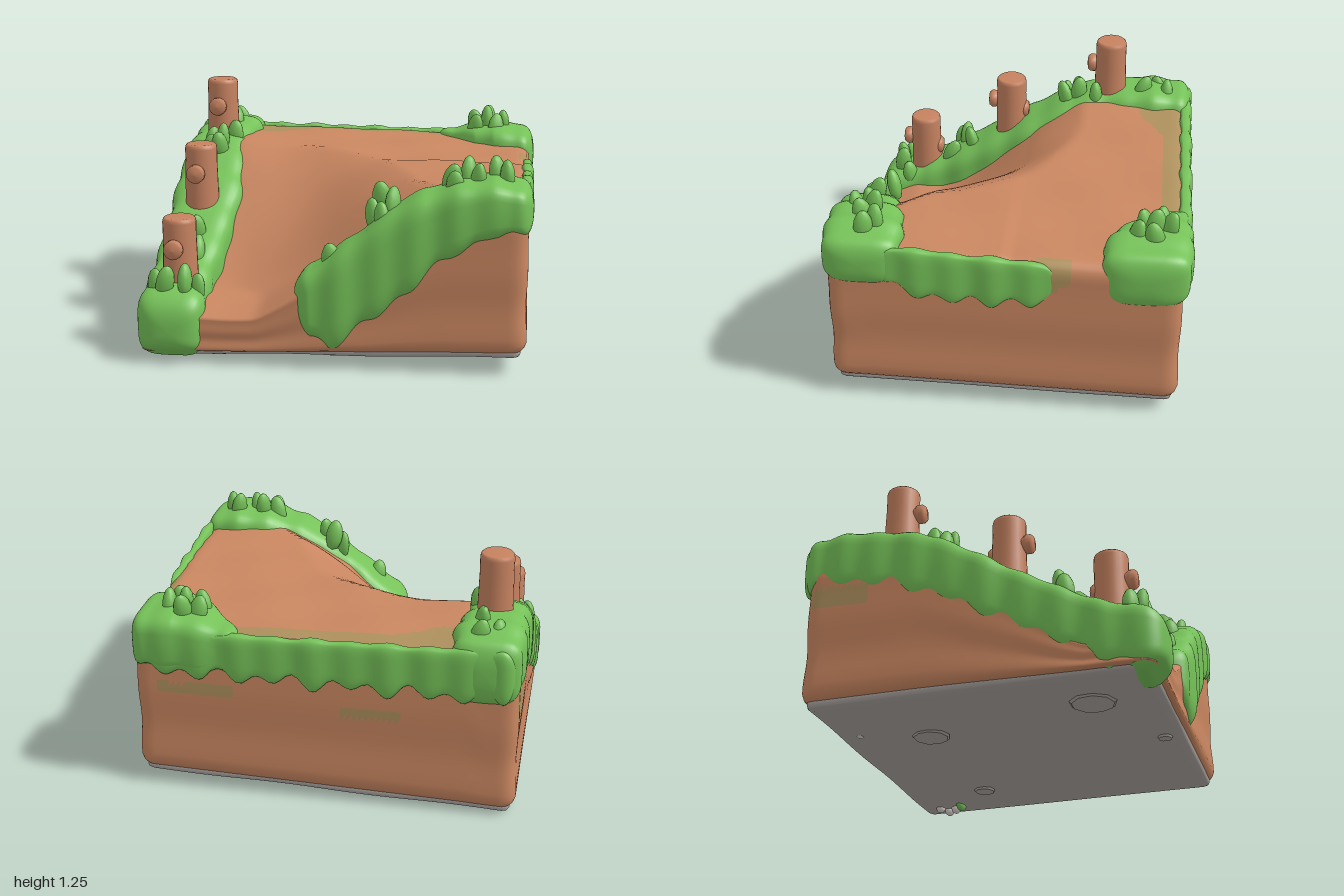
import * as THREE from 'three';
import { mergeVertices } from 'three/addons/utils/BufferGeometryUtils.js';

const { smoothstep, clamp, lerp } = THREE.MathUtils;
const paint = (name, color) => {
  const m = new THREE.MeshStandardMaterial({ color });
  m.name = name;
  return m;
};
const mats = {
  dirt: paint('dirt', 0xca8761),
  olive: paint('fadedGrass', 0xae905d),
  grass: paint('grass', 0x76c259),
  blade: paint('grassBlade', 0x74bf57),
  wood: paint('wood', 0xc68260),
  stone: paint('stone', 0xaea7a2),
  pebble: paint('pebble', 0xddd6d0),
};

function add(group, name, geometry, material, position = [0, 0, 0]) {
  const mesh = new THREE.Mesh(geometry, material);
  mesh.name = name;
  mesh.position.set(...position);
  group.add(mesh);
  return mesh;
}

// Height of the dirt: a plateau with a scooped ramp falling to the front left
function ground(x, z) {
  const reach = lerp(0.95, 1.1, smoothstep(z, 0.4, 0.65));
  const dx = Math.max(0, x + 0.6) / reach, dz = Math.max(0, 0.75 - z);
  const d = Math.pow(dx ** 2.3 + dz ** 2.3, 1 / 2.3);
  const rise = lerp(smoothstep(d, 0.2, 1.05), clamp((d - 0.2) / 0.85, 0, 1), 0.6);
  const lumps = 0.01 * Math.sin(9 * x + 4 * z) * Math.sin(8 * z - 3 * x) * (rise < 1 ? 1 : 0.6);
  const plateau = 0.885 - 0.02 * x * (z < 0 ? 1 : 0.3);
  const lip = 0.04 * smoothstep(z, 0.68, 0.87) * (1 - rise);
  // the dirt sinks a little where turf lies on it
  const underTurf = 0.12 * smoothstep(-x, 0.68, 0.82)
    + 0.08 * smoothstep(z, 0.66, 0.8) * smoothstep(x, 0, 0.2);
  return lerp(0.29, plateau, rise) + lumps - lip - underTurf;
}
const baseLine = (x, z) => 0.055 + 0.03 * x + 0.015 * z;

// Subdivided box with rounded edges, its vertices then moved by a rule
function softBox(w, h, d, r, segs, move) {
  const box = new THREE.BoxGeometry(w, h, d, ...segs);
  box.deleteAttribute('normal');
  box.deleteAttribute('uv');
  const geo = mergeVertices(box, 1e-4), pos = geo.attributes.position;
  const p = new THREE.Vector3(), q = new THREE.Vector3();
  for (let i = 0; i < pos.count; i++) {
    p.fromBufferAttribute(pos, i);
    q.set(clamp(p.x, r - w / 2, w / 2 - r), clamp(p.y, r - h / 2, h / 2 - r), clamp(p.z, r - d / 2, d / 2 - r));
    p.sub(q);
    if (p.lengthSq() > 1e-10) p.setLength(r);
    p.add(q);
    move(p);
    pos.setXYZ(i, p.x, p.y, p.z);
  }
  geo.clearGroups();
  geo.computeVertexNormals();
  return geo;
}

// Where the grass fades into the dirt
function isFaded(x, y, z) {
  const between = (v, a, b) => v > a && v < b;
  const back = between(x, -0.64, 0.46) && y > 0.8 && z < -0.77 + 0.14 * smoothstep(-x, 0.3, 0.6);
  const side = x > 0.92 && y > 0.66 + 0.8 * (-0.2 - z) && between(z, -0.35, -0.18);
  const backStreaks = z < -0.86 && ((between(y, 0.53, 0.59) && between(x, 0.45, 0.85))
    || (between(y, 0.48, 0.53) && between(x, -0.4, -0.1)));
  const leftStreak = x < -0.95 && between(y, 0.52, 0.64) && between(z, -0.85, -0.55);
  return back || side || backStreaks || leftStreak;
}

function earthBlock() {
  const geo = softBox(1.945, 0.8, 1.765, 0.07, [64, 24, 58], (p) => {
    const v = (p.y + 0.4) / 0.8, low = baseLine(p.x, p.z);
    p.y = low + v * (ground(p.x, p.z) - low);
    const bulge = 1 + 0.006 * Math.sin(v * 13) * (1 - v);
    p.x *= bulge;
    p.z = p.z * bulge - 0.008;
  });
  const pos = geo.attributes.position, idx = geo.index.array, lists = [[], []];
  for (let i = 0; i < idx.length; i += 3) {
    const t = [idx[i], idx[i + 1], idx[i + 2]];
    const mid = (get) => t.reduce((s, k) => s + pos[get](k), 0) / 3;
    lists[isFaded(mid('getX'), mid('getY'), mid('getZ')) ? 1 : 0].push(...t);
  }
  geo.setIndex([...lists[0], ...lists[1]]);
  geo.addGroup(0, lists[0].length, 0);
  geo.addGroup(lists[0].length, lists[1].length, 1);
  return geo;
}

// Turf: rounded sections swept along an axis.
// Each row is [position, side from, side to, bottom, top].
function turf(axis, rows, wave = 0.02) {
  const N = 100, M = 32, verts = [], index = [];
  const start = rows[0][0], end = rows[rows.length - 1][0];
  for (let i = 0; i <= N; i++) {
    const u = Math.sin(Math.PI * (i / N - 0.5)), s = lerp(start, end, (u + 1) / 2);
    let k = 0;
    while (k < rows.length - 2 && s > rows[k + 1][0]) k++;
    const f = (s - rows[k][0]) / (rows[k + 1][0] - rows[k][0]);
    const [, from, to, low, high] = rows[k].map((v, n) => lerp(v, rows[k + 1][n], f));
    // round the ends over about 0.1 units
    const tip = clamp(1 - Math.min(s - start, end - s) / 0.1, 0, 1);
    const shrink = Math.pow(Math.max(0, 1 - tip ** 2.5), 1 / 2.5);
    const ripple = Math.sin(s * 33) + 0.6 * Math.sin(s * 19 + 1);
    for (let j = 0; j < M; j++) {
      const a = (j / M) * Math.PI * 2, c = Math.cos(a), n = Math.sin(a);
      const side = (Math.sign(c) * Math.abs(c) ** 0.5 * (to - from) / 2) * shrink + (from + to) / 2
        + c * 0.006 * ripple * shrink;
      const y = (Math.sign(n) * Math.abs(n) ** 0.5 * (high - low) / 2) * shrink + (low + high) / 2
        + (n < 0 ? n * wave * ripple : n * 0.005 * ripple) * shrink;
      verts.push(...(axis === 'x' ? [s, y, side] : [side, y, s]));
      if (i < N) {
        const j2 = (j + 1) % M, A = i * M + j, B = A + M, C = i * M + j2, D = C + M;
        index.push(...(axis === 'x' ? [A, B, C, B, D, C] : [A, C, B, B, C, D]));
      }
    }
  }
  const geo = new THREE.BufferGeometry();
  geo.setAttribute('position', new THREE.Float32BufferAttribute(verts, 3));
  geo.setIndex(index);
  geo.computeVertexNormals();
  return geo;
}

export function createModel() {
  const model = new THREE.Group();
  add(model, 'earthBlock', earthBlock(), [mats.dirt, mats.olive]);

  // Stone underside with flat flakes and pebbles
  add(model, 'stoneBase', softBox(1.9, 0.07, 1.72, 0.035, [48, 6, 44], (p) => {
    p.y += baseLine(p.x, p.z) + 0.012 + 0.004 * Math.sin(7 * p.x) * Math.sin(6 * p.z);
    p.z -= 0.008;
  }), mats.stone);
  [[-0.6, 0.5, 0.12], [0, 0.75, 0.04], [0.55, -0.4, 0.06], [-0.4, -0.4, 0.1]].forEach(([x, z, r]) =>
    add(model, 'stoneFlake', new THREE.CylinderGeometry(r, r * 0.9, 0.012, 9), mats.stone, [x, baseLine(x, z) - 0.029, z]));
  [[0.82, -0.66, 0.04], [0.85, -0.71, 0.04], [0.8, -0.75, 0.045], [-0.5, -0.75, 0.03]].forEach(([x, z, y]) =>
    add(model, 'pebble', new THREE.SphereGeometry(0.035, 12, 8), mats.pebble, [x, y, z]).scale.set(1.1, 0.85, 0.75));
  add(model, 'hangingMoss', new THREE.SphereGeometry(0.05, 14, 10), mats.grass, [0.79, 0.05, -0.62]).scale.set(1.2, 0.7, 0.5);

  // Turf along the edges
  add(model, 'leftTurf', turf('z', [
    [-0.93, -0.98, -0.63, 0.62, 0.95], [-0.7, -0.985, -0.62, 0.62, 0.97], [-0.4, -0.985, -0.65, 0.56, 0.94],
    [-0.2, -0.99, -0.62, 0.48, 0.88], [0, -0.99, -0.6, 0.38, 0.76], [0.13, -0.985, -0.61, 0.3, 0.68],
    [0.4, -0.985, -0.64, 0.17, 0.52], [0.66, -0.99, -0.66, 0.03, 0.39], [0.93, -0.99, -0.64, 0.01, 0.33]]), mats.grass);
  add(model, 'frontTurf', turf('x', [
    [-0.19, 0.6, 0.89, 0.25, 0.46], [-0.1, 0.6, 0.91, 0.14, 0.5], [0, 0.61, 0.915, 0.09, 0.57], [0.15, 0.63, 0.915, 0.2, 0.69],
    [0.3, 0.59, 0.91, 0.31, 0.81], [0.45, 0.57, 0.91, 0.45, 0.89], [0.62, 0.53, 0.91, 0.6, 0.95],
    [0.8, 0.5, 0.905, 0.69, 0.97], [0.995, 0.5, 0.9, 0.69, 0.94]]), mats.grass);
  add(model, 'backRightTurf', turf('x', [
    [0.41, -0.92, -0.82, 0.66, 0.89], [0.52, -0.925, -0.7, 0.65, 0.91], [0.65, -0.93, -0.56, 0.65, 0.94],
    [0.76, -0.935, -0.5, 0.65, 0.96], [0.995, -0.93, -0.47, 0.64, 0.94]]), mats.grass);
  add(model, 'backTurf', turf('x', [
    [-0.95, -0.93, -0.84, 0.65, 0.92], [-0.6, -0.925, -0.86, 0.65, 0.9], [0.4, -0.925, -0.86, 0.66, 0.885],
    [0.95, -0.925, -0.84, 0.66, 0.89]], 0.03), mats.grass);
  add(model, 'rightTurf', turf('z', [
    [-0.27, 0.93, 0.98, 0.65, 0.86], [-0.15, 0.93, 0.987, 0.62, 0.87], [0, 0.93, 0.987, 0.64, 0.88],
    [0.2, 0.93, 0.987, 0.62, 0.89], [0.6, 0.93, 0.987, 0.69, 0.92]], 0.025), mats.grass);

  // Grass blades: [x, z, tip height]
  const bladeGeo = new THREE.LatheGeometry(
    [[0, -0.09], [0.03, -0.075], [0.044, -0.03], [0.046, 0.01], [0.04, 0.045], [0.026, 0.074], [0.012, 0.086], [0, 0.09]]
      .map(([x, y]) => new THREE.Vector2(x, y)), 12);
  [[-0.76, -0.78, 1.02], [-0.85, -0.73, 1.0], [-0.76, -0.64, 1.04],
    [-0.72, -0.37, 1.01], [-0.83, -0.27, 0.99], [-0.77, -0.27, 1.01], [-0.83, -0.2, 0.96], [-0.77, -0.19, 0.98],
    [-0.91, 0.44, 0.58], [-0.87, 0.41, 0.62], [-0.78, 0.37, 0.64], [-0.75, 0.49, 0.56],
    [-0.91, 0.76, 0.45], [-0.85, 0.8, 0.48], [-0.75, 0.79, 0.49], [-0.7, 0.74, 0.43],
    [0, 0.79, 0.63], [0.03, 0.82, 0.59], [0.2, 0.7, 0.84], [0.24, 0.65, 0.92], [0.3, 0.73, 0.91], [0.25, 0.77, 0.84],
    [0.59, 0.7, 1.03], [0.67, 0.67, 1.06], [0.72, 0.72, 1.04], [0.61, 0.77, 1.01], [0.81, 0.64, 1.06], [0.86, 0.69, 1.05],
    [0.65, -0.78, 1.03], [0.72, -0.81, 1.05], [0.72, -0.74, 1.06], [0.65, -0.69, 1.02], [0.77, -0.65, 1.03], [0.81, -0.74, 1.04],
  ].forEach(([x, z, tip], i) => {
    const blade = add(model, 'grassBlade', bladeGeo, mats.blade, [x, tip - 0.088, z]);
    blade.rotation.set(0.2 * Math.sin(i * 2.1), i, 0.2 * Math.cos(i * 1.7));
    blade.scale.set(1.05, 1, 0.8);
  });

  // Wooden posts, each with a sawn-off branch facing front
  const outline = (pts) => pts.map(([x, y]) => new THREE.Vector2(x, y));
  const postGeo = new THREE.LatheGeometry(outline(
    [[0.094, -0.42], [0.09, -0.25], [0.086, -0.1], [0.087, -0.025], [0.083, -0.008], [0.074, 0], [0, 0]]), 24);
  const knobGeo = new THREE.LatheGeometry(outline(
    [[0.036, 0], [0.038, 0.08], [0.05, 0.092], [0.05, 0.118], [0.038, 0.132], [0, 0.137]]), 16);
  [[-0.45, 1.24], [0.13, 0.975], [0.65, 0.7]].forEach(([z, top], i) => {
    const post = new THREE.Group();
    post.name = 'post';
    post.position.set(-0.805, top, z);
    add(post, 'trunk', postGeo, mats.wood);
    add(post, 'branchStub', knobGeo, mats.wood, [-0.01, -0.15, 0]).rotation.x = Math.PI / 2;
    if (i) add(post, 'backStub', knobGeo, mats.wood, [0, -0.2, 0.03]).rotation.x = -Math.PI / 2;
    model.add(post);
  });
  return model;
}
